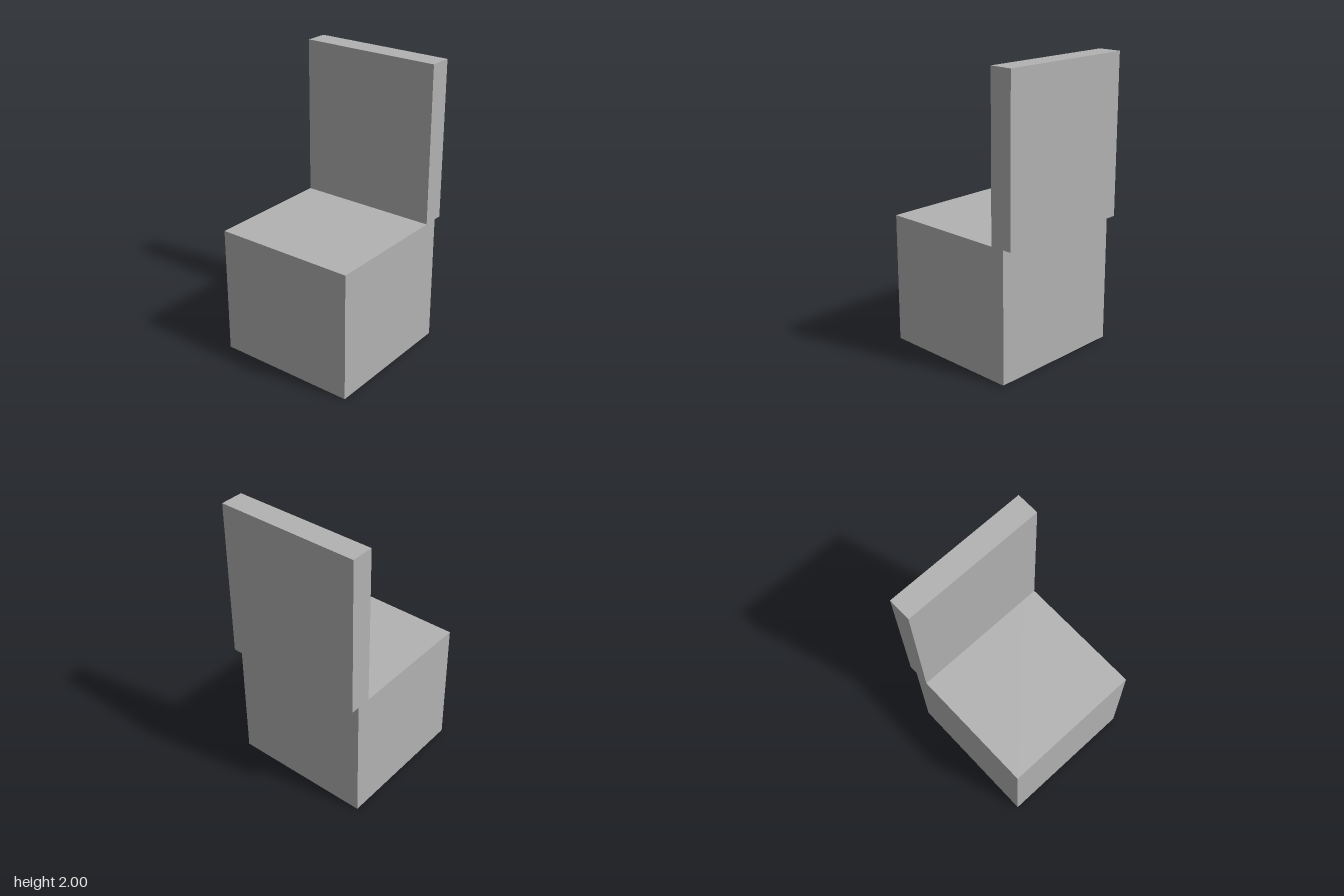
import * as THREE from 'three';

export function createModel() {
  const group = new THREE.Group();
  group.name = 'chair';

  const grey = new THREE.MeshStandardMaterial({ color: 0xb2b2b2 });
  grey.name = 'grey';

  // Box given by its y and z ranges, one unit wide
  const addBlock = (name, y0, y1, z0, z1) => {
    const mesh = new THREE.Mesh(new THREE.BoxGeometry(1, y1 - y0, z1 - z0), grey);
    mesh.position.set(0, (y0 + y1) / 2, (z0 + z1) / 2);
    mesh.name = name;
    group.add(mesh);
  };

  // Solid seat block
  addBlock('seat', 0, 0.9, -0.47, 0.53);
  // Backrest panel, overhanging the rear of the seat
  addBlock('backrest', 0.9, 2, -0.53, -0.37);

  return group;
}
